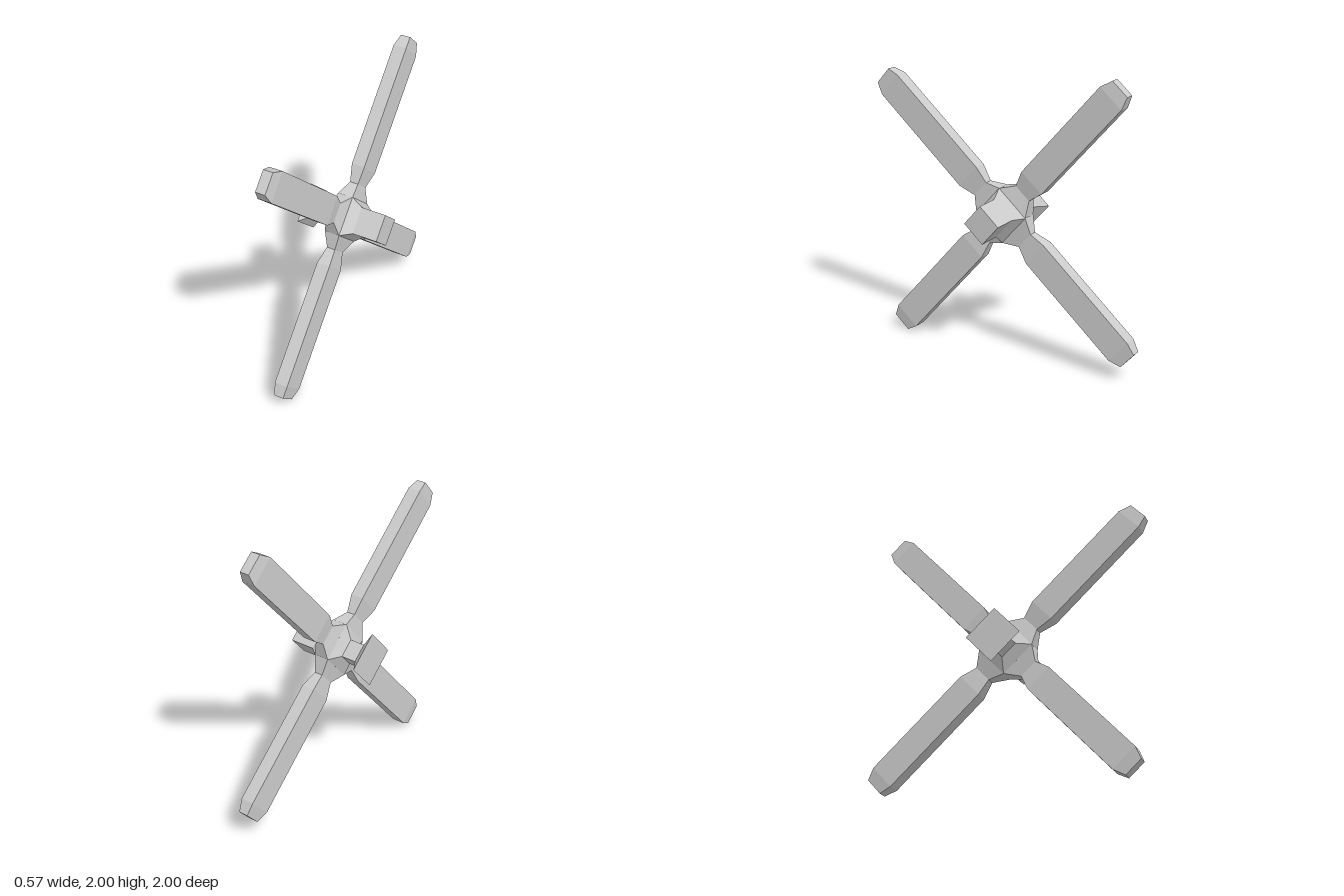
import * as THREE from 'three';

const material = new THREE.MeshStandardMaterial({ color: 0xcccccc, flatShading: true });

// Blade sections: [distance from axle, half width, half thickness]
const SECTIONS = [
  [0.134, 0.134, 0.054],
  [0.231, 0.068, 0.03],
  [0.348, 0.1, 0.047],
  [1.188, 0.1, 0.047],
  [1.272, 0.07, 0.034],
];

// A box whose rows are moved to the blade sections
function bladeGeometry() {
  const rows = SECTIONS.length - 1;
  const geometry = new THREE.BoxGeometry(2, rows, 2, 1, rows, 1);
  const p = geometry.attributes.position;
  for (let i = 0; i < p.count; i++) {
    const [along, width, thickness] = SECTIONS[Math.round(p.getY(i) + rows / 2)];
    p.setXYZ(i, p.getX(i) * thickness, along, p.getZ(i) * width);
  }
  geometry.computeVertexNormals();
  return geometry;
}

export function createModel() {
  const model = new THREE.Group();
  model.name = 'fourBladeRotor';

  const rotor = new THREE.Group();
  rotor.name = 'rotor';
  rotor.position.y = 1;
  rotor.rotation.x = THREE.MathUtils.degToRad(3.4);
  model.add(rotor);

  // Square axle with flared end, hub and thick stub, turned about x
  const profile = [
    [0, -0.284], [0.19, -0.284], [0.09, -0.22], [0.09, -0.112],
    [0.19, -0.07], [0.19, 0.038], [0.13, 0.107], [0.13, 0.284], [0, 0.284],
  ].map(([r, x]) => new THREE.Vector2(r, x));
  const axle = new THREE.Mesh(new THREE.LatheGeometry(profile, 4).rotateZ(-Math.PI / 2), material);
  axle.name = 'axle';
  rotor.add(axle);

  // Four blades growing from the flat sides of the hub
  const blade = bladeGeometry();
  for (let i = 0; i < 4; i++) {
    const mesh = new THREE.Mesh(blade, material);
    mesh.name = `blade${i + 1}`;
    mesh.position.x = -0.016;
    mesh.rotation.x = Math.PI / 4 + (i * Math.PI) / 2;
    rotor.add(mesh);
  }

  return model;
}
